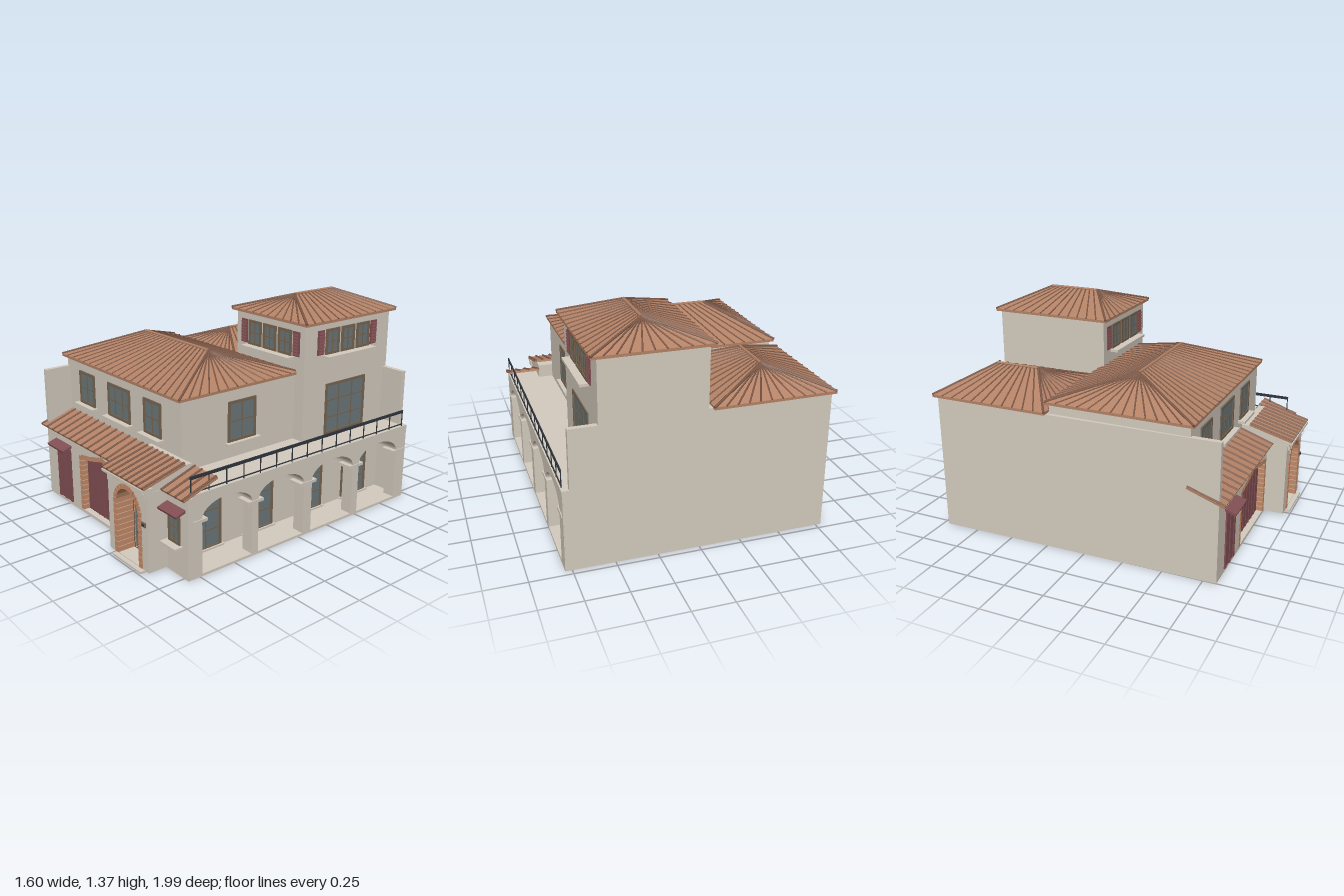
import * as THREE from 'three';
import { mergeGeometries } from 'three/addons/utils/BufferGeometryUtils.js';

const mat = (name, color) => new THREE.MeshStandardMaterial({ name, color });
const M = {
  stucco: mat('stucco', 0xd4cbbe),
  clay: mat('clay roof', 0xb48266),
  rib: mat('roof rib', 0x7e5a49),
  brick: mat('brick', 0xc48b69),
  maroon: mat('maroon wood', 0x824f53),
  glass: mat('glass', 0x6b787a),
  frame: mat('window frame', 0x786652),
  iron: mat('iron', 0x30363d),
};
const V = (x, y, z) => new THREE.Vector3(x, y, z);

function add(parent, name, geo, material, x = 0, y = 0, z = 0) {
  const m = new THREE.Mesh(geo, material);
  m.name = name;
  m.position.set(x, y, z);
  parent.add(m);
  return m;
}
// Box given by its minimum and maximum on each axis
function block(parent, name, material, x0, x1, y0, y1, z0, z1) {
  return add(parent, name, new THREE.BoxGeometry(x1 - x0, y1 - y0, z1 - z0), material,
    (x0 + x1) / 2, (y0 + y1) / 2, (z0 + z1) / 2);
}
const extrude = (shape, depth) =>
  new THREE.ExtrudeGeometry(shape, { depth, bevelEnabled: false, curveSegments: 20 });
const poly = pts => new THREE.Shape(pts.map(p => new THREE.Vector2(...p)));
// Round bar between two points
function rod(a, b, r, sides = 6) {
  const d = b.clone().sub(a), g = new THREE.CylinderGeometry(r, r, d.length(), sides);
  g.applyQuaternion(new THREE.Quaternion().setFromUnitVectors(V(0, 1, 0), d.normalize()));
  return g.translate((a.x + b.x) / 2, (a.y + b.y) / 2, (a.z + b.z) / 2);
}
// Group whose local +z faces the model's +x side (local x is -z)
function sideGroup(parent, name, x) {
  const g = new THREE.Group();
  g.name = name;
  g.position.x = x;
  g.rotation.y = Math.PI / 2;
  parent.add(g);
  return g;
}

// Hip roof: sloped faces, eave board, ridge cap and fanned ribs
function hipRoof(parent, name, x0, x1, z0, z1, y0, y1, axis, r0, r1) {
  const xc = (x0 + x1) / 2, zc = (z0 + z1) / 2;
  const c = [V(x0, y0, z0), V(x1, y0, z0), V(x1, y0, z1), V(x0, y0, z1)];
  const A = axis === 'x' ? V(r0, y1, zc) : V(xc, y1, r0);
  const B = axis === 'x' ? V(r1, y1, zc) : V(xc, y1, r1);
  const tops = axis === 'x' ? [[A, B], [B, B], [B, A], [A, A]] : [[A, A], [A, B], [B, B], [B, A]];
  const eaves = [[c[1], c[0]], [c[2], c[1]], [c[3], c[2]], [c[0], c[3]]];
  const tris = [], ribs = [];
  eaves.forEach(([s, e], k) => {
    const [p, q] = tops[k];
    tris.push(s, e, p);
    if (p !== q) tris.push(s, p, q);
    const n = Math.round(s.distanceTo(e) / 0.068);
    for (let i = 0; i < n; i++)
      ribs.push(rod(s.clone().lerp(e, i / n), q.clone().lerp(p, i / n), i ? 0.005 : 0.008));
  });
  const g = new THREE.BufferGeometry().setFromPoints(tris);
  g.computeVertexNormals();
  add(parent, name, g, M.clay);
  add(parent, name + 'Ribs', mergeGeometries(ribs), M.rib);
  add(parent, name + 'Ridge', rod(A, B, 0.01), M.clay);
  block(parent, name + 'Eave', M.clay, x0, x1, y0 - 0.017, y0 - 0.0005, z0, z1);
}

// Single slope from a high back edge to a low front edge
function shed(parent, name, material, x0, x1, zt, yt, zb, yb, ribs) {
  const L = Math.hypot(zb - zt, yt - yb), g = new THREE.Group();
  g.name = name;
  g.position.set((x0 + x1) / 2, (yt + yb) / 2, (zt + zb) / 2);
  g.rotation.x = Math.atan2(yt - yb, zb - zt);
  parent.add(g);
  const w = x1 - x0;
  add(g, name + 'Slab', new THREE.BoxGeometry(w, 0.014, L), material);
  const bars = [];
  for (let i = 0; i < ribs; i++) {
    const x = -w / 2 + 0.008 + (w - 0.016) * i / (ribs - 1);
    bars.push(rod(V(x, 0.008, -L / 2), V(x, 0.008, L / 2 + 0.003), 0.008));
  }
  if (ribs) add(g, name + 'Ribs', mergeGeometries(bars), M.rib);
}

// Window on the local plane z; sill is its overhang or 0
function windowUnit(parent, name, x0, x1, y0, y1, z, cols, rows, sill = 0) {
  block(parent, name + 'Glass', M.glass, x0, x1, y0, y1, z - 0.004, z + 0.003);
  const b = 0.017, t = 0.008, bars = [];
  const bar = (cx, cy, w, h, d) => bars.push(new THREE.BoxGeometry(w, h, d).translate(cx, cy, z));
  const xm = (x0 + x1) / 2, ym = (y0 + y1) / 2;
  for (const x of [x0 + b / 2, x1 - b / 2]) bar(x, ym, b, y1 - y0, 0.018);
  for (const y of [y0 + b / 2, y1 - b / 2]) bar(xm, y, x1 - x0, b, 0.018);
  for (let i = 1; i < cols; i++) bar(x0 + (x1 - x0) * i / cols, ym, t, y1 - y0 - b, 0.012);
  for (let i = 1; i < rows; i++) bar(xm, y0 + (y1 - y0) * i / rows, x1 - x0 - b, t, 0.012);
  add(parent, name + 'Frame', mergeGeometries(bars), M.frame);
  if (sill) block(parent, name + 'Sill', M.stucco, x0 - 0.02, x1 + 0.02, y0 - 0.016, y0, z - 0.01, z + sill);
}

// Louvred shutter
function shutter(parent, x0, x1, y0, y1, z) {
  block(parent, 'shutter', M.maroon, x0, x1, y0, y1, z - 0.004, z + 0.006);
  const slats = [];
  for (let y = y0 + 0.015; y < y1 - 0.005; y += 0.02)
    slats.push(new THREE.BoxGeometry(x1 - x0 - 0.01, 0.014, 0.006).rotateX(-0.35).translate((x0 + x1) / 2, y, z + 0.009));
  add(parent, 'shutterSlats', mergeGeometries(slats), M.maroon);
}

// Bricks laid along a path in the front plane, with the wall showing as mortar
function bricks(parent, name, path, width, z0, z1) {
  const n = Math.round(path.getLength() / 0.034), list = [], step = path.getLength() / n;
  for (let i = 0; i < n; i++) {
    const t = (i + 0.5) / n, p = path.getPointAt(t), d = path.getTangentAt(t);
    list.push(new THREE.BoxGeometry(step - 0.004, width, z1 - z0)
      .rotateZ(Math.atan2(d.y, d.x)).translate(p.x, p.y, (z0 + z1) / 2));
  }
  add(parent, name, mergeGeometries(list), M.brick);
}

function archShape(T, cx, y0, ys, r) {
  const s = new T();
  s.moveTo(cx - r, y0);
  s.lineTo(cx - r, ys);
  s.absarc(cx, ys, r, Math.PI, 0, true);
  s.lineTo(cx + r, y0);
  return s;
}
// Pointed garage outline between x0 and x1, shifted by dy at the top
const garageOutline = (x0, x1, dy) => [[x0, 0.02], [x0, 0.382 + dy], [x0 + 0.12, 0.402 + dy], [-0.076, 0.438 + dy],
  [x1 - 0.12, 0.402 + dy], [x1, 0.382 + dy], [x1, 0.02]];

export function createModel() {
  const G = new THREE.Group();
  G.name = 'house';

  // Base and slanted left wall, drawn in plan
  const plan = (name, pts, y0, h) => {
    const g = extrude(poly(pts.map(([x, z]) => [x, -z])), h).rotateX(-Math.PI / 2);
    add(G, name, g, M.stucco, 0, y0, 0);
  };
  plan('base', [[-0.78, -0.965], [-0.75, 0.83], [0.79, 0.83], [0.79, -0.965]], 0, 0.015);
  plan('leftWall', [[-0.782, -0.966], [-0.752, 0.831], [-0.72, 0.831], [-0.74, -0.966]], 0.005, 0.856);
  block(G, 'entryStep', M.stucco, 0.27, 0.56, 0, 0.012, 0.82, 0.99);

  // Main volumes
  block(G, 'groundFloor', M.stucco, -0.75, 0.585, 0.015, 0.5, -0.95, 0.76);
  block(G, 'rearWall', M.stucco, -0.75, 0.785, 0.005, 0.5, -0.966, -0.93);
  block(G, 'upperFloor', M.stucco, -0.745, 0.503, 0.5, 0.925, -0.215, 0.655);
  block(G, 'rearWing', M.stucco, -0.75, -0.035, 0.5, 0.87, -0.966, -0.21);
  block(G, 'tower', M.stucco, -0.035, 0.585, 0.5, 1.236, -0.966, -0.21);
  block(G, 'rearParapet', M.stucco, 0.585, 0.75, 0.5, 0.86, -0.966, -0.935);

  // Roofs
  hipRoof(G, 'frontRoof', -0.77, 0.52, -0.23, 0.68, 0.938, 1.082, 'x', -0.455, 0.206);
  hipRoof(G, 'towerRoof', -0.063, 0.622, -0.99, -0.183, 1.252, 1.358, 'z', -0.75, -0.41);
  hipRoof(G, 'rearRoof', -0.8, -0.06, -0.99, -0.22, 0.883, 1.01, 'z', -0.755, -0.465);
  shed(G, 'porchRoof', M.clay, -0.76, 0.2, 0.64, 0.565, 0.865, 0.487, 14);
  shed(G, 'sidePorchRoof', M.clay, 0.597, 0.8, 0.635, 0.565, 0.865, 0.487, 4);
  shed(G, 'entryRoof', M.clay, 0.195, 0.612, 0.71, 0.6, 0.99, 0.525, 9);

  // Front wall with garage opening
  const gx0 = -0.317, gx1 = 0.166;
  const front = poly([[-0.75, 0.015], [0.79, 0.015], [0.79, 0.485], [-0.75, 0.485]]);
  const garage = garageOutline(gx0, gx1, -0.013);
  front.holes.push(new THREE.Path(garage.map(p => new THREE.Vector2(...p))));
  add(G, 'frontWall', extrude(front, 0.07), M.stucco, 0, 0, 0.76);
  const gPath = new THREE.Path();
  garageOutline(gx0 - 0.013, gx1 + 0.013, 0).forEach(([x, y], i) => (i ? gPath.lineTo(x, y) : gPath.moveTo(x, y)));
  bricks(G, 'garageBricks', gPath, 0.029, 0.785, 0.833);
  add(G, 'garageDoor', extrude(poly(garage), 0.025), M.maroon, 0, 0, 0.765);
  for (let i = 1; i < 8; i++) {
    const x = gx0 + (gx1 - gx0) * i / 8;
    block(G, 'garageBatten', M.maroon, x - 0.004, x + 0.004, 0.02, 0.375, 0.785, 0.794);
  }

  // Side door, awnings and small front window
  block(G, 'sideDoor', M.maroon, -0.62, -0.45, 0.025, 0.39, 0.825, 0.834);
  for (const x of [-0.607, -0.535, -0.463])
    block(G, 'sideDoorStile', M.maroon, x - 0.012, x + 0.012, 0.025, 0.385, 0.83, 0.839);
  shed(G, 'doorAwning', M.maroon, -0.64, -0.44, 0.828, 0.412, 0.895, 0.39, 0);
  shed(G, 'windowAwning', M.maroon, 0.59, 0.77, 0.828, 0.412, 0.895, 0.39, 0);
  windowUnit(G, 'smallWindow', 0.615, 0.72, 0.19, 0.385, 0.83, 2, 2, 0.055);

  // Entry porch
  const ec = 0.403;
  const porch = poly([[0.205, 0.012], [0.6, 0.012], [0.6, 0.49], [0.205, 0.49]]);
  porch.holes.push(archShape(THREE.Path, ec, 0.016, 0.34, 0.109));
  add(G, 'entryWall', extrude(porch, 0.13), M.stucco, 0, 0, 0.83);
  const cap = sideGroup(G, 'entryCap', 0.207);
  add(cap, 'entryGable', extrude(poly([[-0.958, 0.48], [-0.958, 0.522], [-0.72, 0.588], [-0.655, 0.588], [-0.655, 0.48]]), 0.39), M.stucco);
  block(G, 'entryBeam', M.stucco, 0.198, 0.61, 0.485, 0.52, 0.93, 0.972);
  block(G, 'entryFascia', M.stucco, 0.198, 0.61, 0.505, 0.519, 0.965, 0.996);
  for (const x of [0.235, 0.58]) block(G, 'entryBracket', M.stucco, x - 0.012, x + 0.012, 0.455, 0.486, 0.95, 0.975);
  bricks(G, 'entryBricks', archShape(THREE.Path, ec, 0.016, 0.34, 0.122), 0.03, 0.835, 0.967);
  block(G, 'wallPlaque', M.frame, 0.548, 0.584, 0.284, 0.31, 0.958, 0.968);
  block(G, 'wallPlaqueInset', M.iron, 0.555, 0.577, 0.29, 0.304, 0.96, 0.971);

  // Glazed entry door with ironwork
  add(G, 'entryDoor', extrude(archShape(THREE.Shape, ec, 0.016, 0.34, 0.109), 0.008), M.glass, 0, 0, 0.832);
  const rim = archShape(THREE.Shape, ec, 0.016, 0.34, 0.109);
  rim.holes.push(archShape(THREE.Path, ec, 0.022, 0.34, 0.102));
  add(G, 'entryDoorFrame', extrude(rim, 0.016), M.iron, 0, 0, 0.835);
  const iron = [];
  for (const dx of [-0.078, -0.026, 0.026, 0.078]) {
    const top = 0.34 + Math.sqrt(0.1 ** 2 - dx ** 2);
    iron.push(rod(V(ec + dx, 0.02, 0.845), V(ec + dx, top, 0.845), 0.002));
  }
  for (const dx of [-0.052, 0, 0.052])
    for (let i = 0; i < 8; i++)
      iron.push(new THREE.TorusGeometry(0.016, 0.002, 5, 14).scale(0.8, 1.15, 1).translate(ec + dx, 0.075 + i * 0.041, 0.845));
  add(G, 'entryIronwork', mergeGeometries(iron), M.iron);

  // Upper front windows
  windowUnit(G, 'upperWindowA', -0.59, -0.41, 0.645, 0.86, 0.655, 2, 2, 0.045);
  windowUnit(G, 'upperWindowB', -0.25, -0.005, 0.645, 0.86, 0.655, 3, 2, 0.045);
  windowUnit(G, 'upperWindowC', 0.14, 0.315, 0.645, 0.86, 0.655, 2, 2, 0.045);

  // Tower windows and shutters, on the front and the side
  const towerSide = sideGroup(G, 'towerSide', 0.585);
  for (const [p, x, z] of [[G, 0.277, -0.21], [towerSide, 0.58, 0]]) {
    for (const d of [-0.137, 0, 0.137]) windowUnit(p, 'towerWindow', x + d - 0.059, x + d + 0.059, 1.03, 1.19, z, 2, 2);
    for (const d of [-0.237, 0.237]) shutter(p, x + d - 0.028, x + d + 0.028, 1.035, 1.188, z);
    block(p, 'towerSill', M.stucco, x - 0.215, x + 0.215, 1.012, 1.028, z - 0.01, z + 0.055);
  }
  windowUnit(towerSide, 'terraceDoor', 0.4, 0.76, 0.505, 0.84, -0.002, 3, 3);
  windowUnit(sideGroup(G, 'upperSide', 0.503), 'upperSideWindow', -0.32, -0.105, 0.6, 0.85, -0.002, 2, 2, 0.035);

  // Arcade with four flattened arches, vaulted back to the inner wall
  const arcade = sideGroup(G, 'arcade', 0);
  const centres = [-0.555, -0.147, 0.28, 0.695], hw = 0.18;
  const arches = foot => {
    const s = new THREE.Shape();
    s.moveTo(-0.765, foot);
    for (const c of centres) {
      s.lineTo(c - hw, foot);
      s.lineTo(c - hw, 0.345);
      s.absellipse(c, 0.345, hw, 0.095, Math.PI, 0, true);
      s.lineTo(c + hw, foot);
    }
    s.lineTo(0.965, foot);
    s.lineTo(0.965, 0.48);
    s.lineTo(-0.765, 0.48);
    return s;
  };
  add(arcade, 'arcadeWall', extrude(arches(0.015), 0.08), M.stucco, 0, 0, 0.71);
  add(arcade, 'arcadeVault', extrude(arches(0.335), 0.13), M.stucco, 0, 0, 0.58);
  for (const c of centres) {
    windowUnit(arcade, 'arcadeWindow', c - 0.115, c + 0.115, 0.016, 0.385, 0.585, 2, 3);
    block(arcade, 'arcadeDoorstep', M.stucco, c - 0.13, c + 0.13, 0.01, 0.026, 0.58, 0.605);
  }
  const edges = [-0.785, ...centres.flatMap(c => [c - hw, c + hw]), 0.915];
  for (let i = 0; i < edges.length; i += 2)
    block(arcade, 'impost', M.stucco, Math.max(edges[i] - 0.034, -0.8), Math.min(edges[i + 1] + 0.034, 0.96), 0.33, 0.348, 0.702, 0.796);
  block(G, 'terrace', M.stucco, 0.5, 0.793, 0.475, 0.502, -0.965, 0.8);

  // Terrace railing
  const rail = [];
  const z0 = -0.925, z1 = 0.81, n = 14;
  for (const [y, h] of [[0.601, 0.018], [0.515, 0.005]])
    rail.push(new THREE.BoxGeometry(0.007, h, z1 - z0).translate(0.784, y, (z0 + z1) / 2));
  for (let i = 0; i <= n; i++)
    rail.push(new THREE.BoxGeometry(0.005, 0.105, 0.005).translate(0.784, 0.552, z0 + 0.004 + (z1 - z0 - 0.008) * i / n));
  add(G, 'terraceRailing', mergeGeometries(rail), M.iron);

  return G;
}
